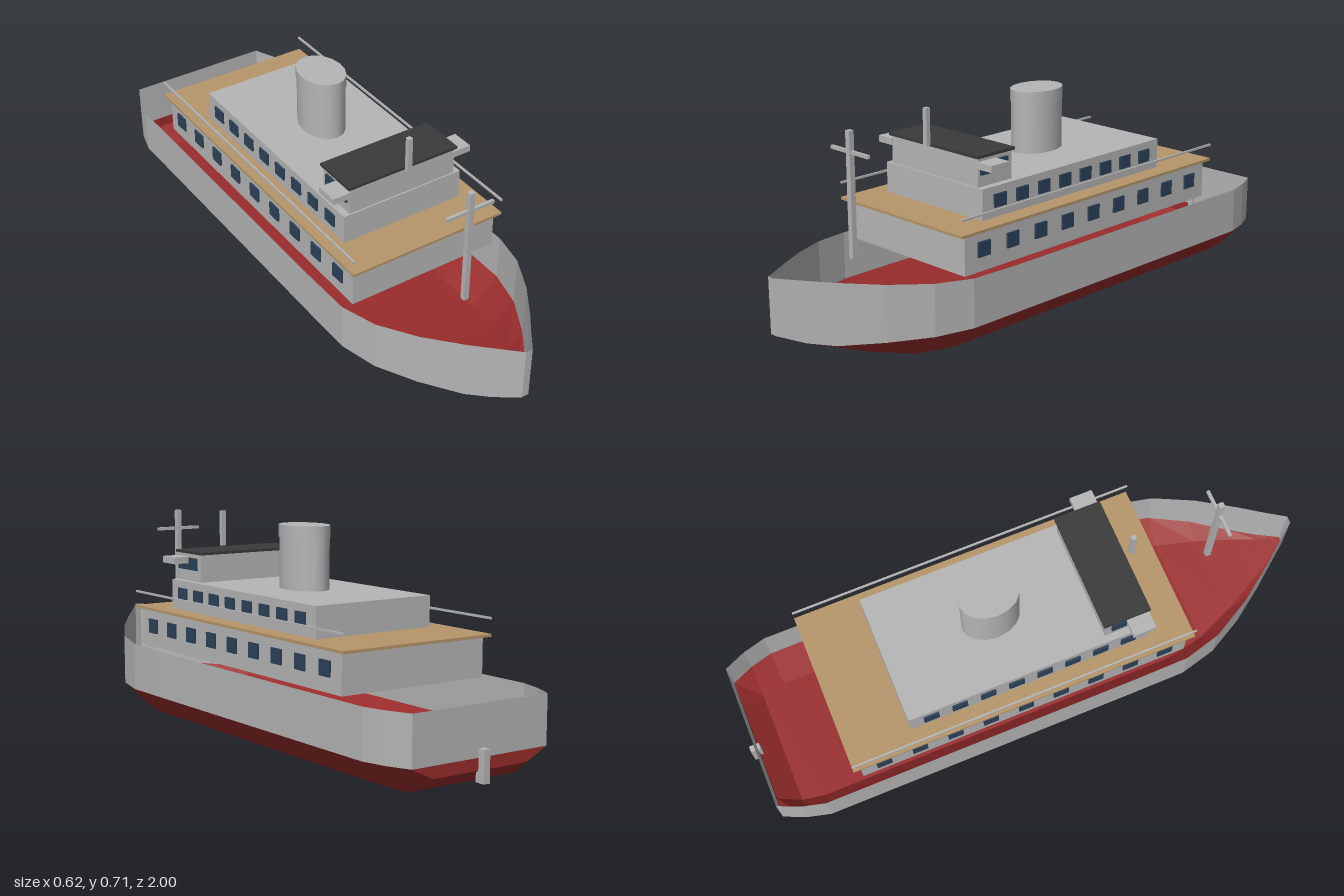
import * as THREE from 'three';

const mat = (name, color, side = THREE.FrontSide) => {
  const m = new THREE.MeshStandardMaterial({ color, side });
  m.name = name;
  return m;
};

export function createModel() {
  const ship = new THREE.Group();
  ship.name = 'ship';
  const grey = mat('paintedGrey', 0xb6b6b6);
  const hullGrey = mat('hullGrey', 0xb4b4b4, THREE.DoubleSide);
  const red = mat('hullRed', 0x9a2c2c, THREE.DoubleSide);
  const wood = mat('deckWood', 0xb6966a);
  const dark = mat('roofDark', 0x3a3a3a);
  const glass = mat('windowBlue', 0x2c4258);

  const add = (name, geo, material, parent = ship) => {
    const mesh = new THREE.Mesh(geo, material);
    mesh.name = name;
    parent.add(mesh);
    return mesh;
  };
  // box given by its min/max on each axis
  const box = (name, [x0, x1], [y0, y1], [z0, z1], material, parent) => {
    const geo = new THREE.BoxGeometry(x1 - x0, y1 - y0, z1 - z0);
    geo.translate((x0 + x1) / 2, (y0 + y1) / 2, (z0 + z1) / 2);
    return add(name, geo, material, parent);
  };
  // faceted strip between two polylines
  const strip = (name, a, b, material, parent) => {
    const pos = [];
    for (let i = 0; i < a.length - 1; i++) {
      pos.push(...a[i], ...b[i], ...b[i + 1], ...a[i], ...b[i + 1], ...a[i + 1]);
    }
    const geo = new THREE.BufferGeometry();
    geo.setAttribute('position', new THREE.Float32BufferAttribute(pos, 3));
    geo.computeVertexNormals();
    return add(name, geo, material, parent);
  };

  // hull stations from bow to stern: z, half width, keel, waterline, rim
  const stations = [
    [1, 0.012, 0.13, 0.13, 0.31],
    [0.93, 0.065, 0.1, 0.102, 0.298],
    [0.86, 0.12, 0.077, 0.088, 0.287],
    [0.74, 0.205, 0.04, 0.088, 0.271],
    [0.61, 0.275, 0.01, 0.088, 0.258],
    [0.48, 0.308, 0, 0.088, 0.249],
    [0.3, 0.309, 0, 0.088, 0.245],
    [-0.82, 0.309, 0, 0.088, 0.245],
    [-0.9, 0.288, 0, 0.088, 0.245],
    [-0.975, 0.255, 0.05, 0.088, 0.245],
  ];
  const line = (level, side, ratio = 1) =>
    stations.map((s) => [side * s[1] * ratio, s[level], s[0]]);
  const KEEL = 2, WATER = 3, RIM = 4, CHINE = 0.7;

  // open-topped hull shell
  const hull = new THREE.Group();
  hull.name = 'hull';
  ship.add(hull);
  for (const s of [1, -1]) {
    const rim = line(RIM, s), water = line(WATER, s), chine = line(KEEL, s, CHINE);
    if (s > 0) {
      strip('leftTopside', water, rim, hullGrey, hull);
      strip('leftBilge', chine, water, red, hull);
    } else {
      strip('rightTopside', rim, water, hullGrey, hull);
      strip('rightBilge', water, chine, red, hull);
    }
  }
  strip('hullBottom', line(KEEL, -1, CHINE), line(KEEL, 1, CHINE), red, hull);
  const across = (level, i, ratio) =>
    [line(level, -1, ratio)[i], line(level, 1, ratio)[i]];
  const end = stations.length - 1;
  strip('stem', across(RIM, 0), across(WATER, 0), hullGrey, hull);
  strip('transom', across(WATER, end), across(RIM, end), hullGrey, hull);
  strip('lowerTransom', across(KEEL, end, CHINE), across(WATER, end), red, hull);
  box('rudder', [-0.011, 0.011], [0.015, 0.115], [-1, -0.965], grey);

  // superstructure
  box('lowerDeckhouse', [-0.271, 0.271], [0.245, 0.374], [-0.675, 0.483], grey);
  box('promenadeDeck', [-0.284, 0.284], [0.373, 0.382], [-0.7, 0.505], wood);
  box('upperDeckhouse', [-0.222, 0.222], [0.382, 0.483], [-0.48, 0.36], grey);
  box('bridge', [-0.199, 0.199], [0.483, 0.576], [0.21, 0.355], grey);
  box('bridgeRoof', [-0.205, 0.205], [0.576, 0.585], [0.2, 0.362], dark);

  // windows, rails and bridge wings on both sides
  const windowRow = (name, wall, y0, y1, count, first, step) => {
    const row = new THREE.Group();
    row.name = name;
    ship.add(row);
    for (let i = 0; i < count; i++) {
      const z = first - i * step;
      for (const s of [1, -1]) {
        const xs = [s * (wall - 0.002), s * (wall + 0.0065)].sort((a, b) => a - b);
        box('window', xs, [y0, y1], [z - 0.026, z + 0.026], glass, row);
      }
    }
  };
  windowRow('lowerWindows', 0.271, 0.293, 0.342, 9, 0.404, 0.125);
  windowRow('upperWindows', 0.222, 0.415, 0.458, 8, 0.285, 0.0985);
  windowRow('bridgeWindows', 0.199, 0.521, 0.562, 2, 0.32, 0.064);
  for (const s of [1, -1]) {
    const side = s > 0 ? 'left' : 'right';
    const span = (a, b) => (s > 0 ? [a, b] : [-b, -a]);
    box(side + 'BridgeWing', span(0.195, 0.26), [0.543, 0.565], [0.28, 0.358], grey);
    box(side + 'Rail', span(0.279, 0.285), [0.427, 0.434], [-0.7, 0.505], grey);
  }

  // oval funnel with a slightly wider cap
  const funnel = new THREE.Group();
  funnel.name = 'funnel';
  funnel.position.set(0, 0, -0.11);
  ship.add(funnel);
  const oval = (name, rx, y0, y1) => {
    const geo = new THREE.CylinderGeometry(1, 1, y1 - y0, 16);
    geo.scale(rx, 1, 0.1);
    geo.translate(0, (y0 + y1) / 2, 0);
    add(name, geo, grey, funnel);
  };
  oval('funnelBody', 0.071, 0.483, 0.65);
  oval('funnelCap', 0.075, 0.65, 0.692);

  // masts
  box('foremast', [-0.009, 0.009], [0.29, 0.692], [0.682, 0.7], grey);
  box('foremastYard', [-0.086, 0.086], [0.62, 0.631], [0.686, 0.696], grey);
  box('bridgePost', [-0.008, 0.008], [0.585, 0.707], [0.376, 0.392], grey);

  return ship;
}
